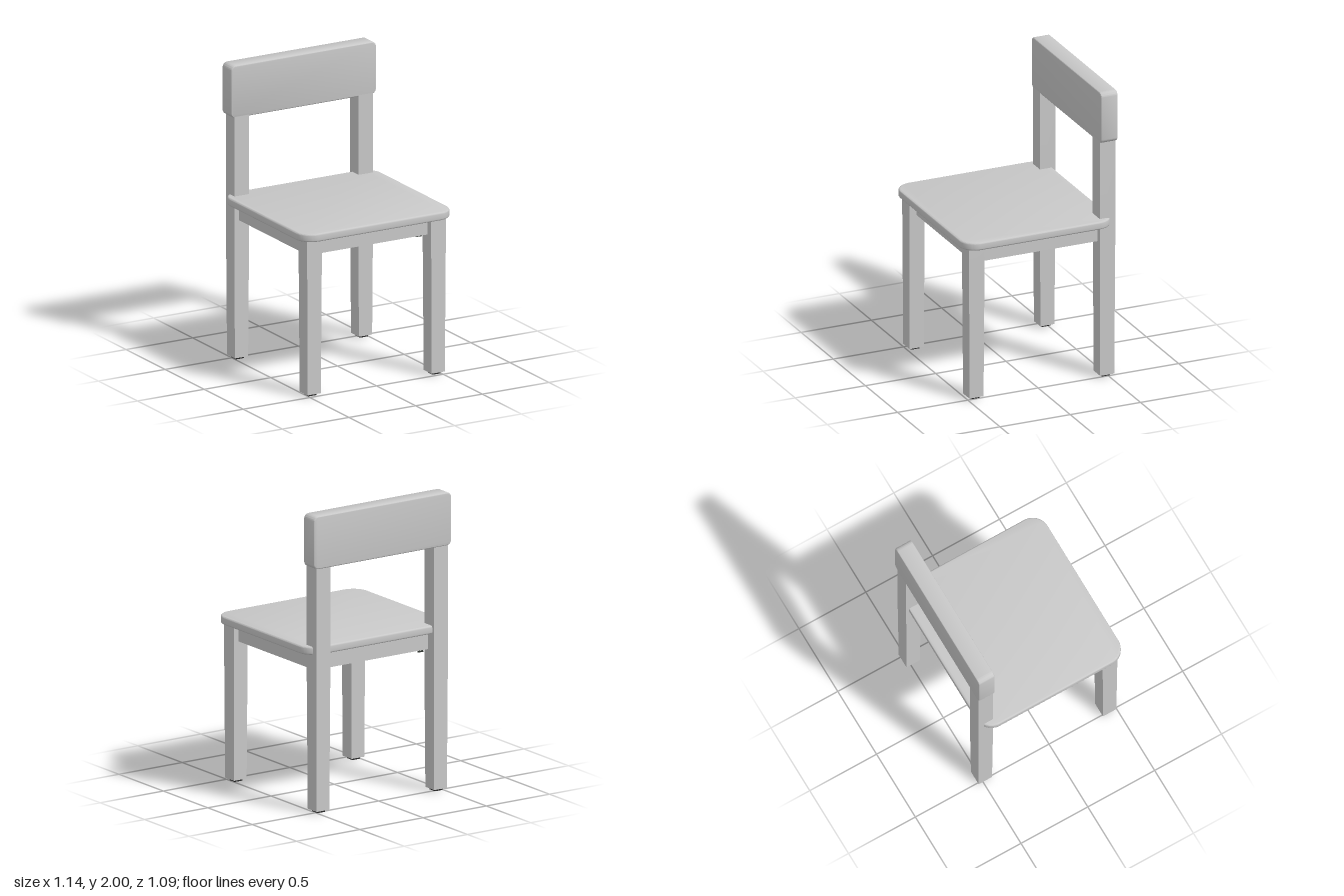
import * as THREE from 'three';
import { toCreasedNormals } from 'three/addons/utils/BufferGeometryUtils.js';

// Rounded rectangle slab lying in the xy plane, centred, with softened rims
function slab(w, h, d, r, bevel) {
  const x = w / 2 - bevel, y = h / 2 - bevel;
  const s = new THREE.Shape();
  s.moveTo(-x + r, -y);
  s.lineTo(x - r, -y);
  s.absarc(x - r, -y + r, r, -Math.PI / 2, 0);
  s.lineTo(x, y - r);
  s.absarc(x - r, y - r, r, 0, Math.PI / 2);
  s.lineTo(-x + r, y);
  s.absarc(-x + r, y - r, r, Math.PI / 2, Math.PI);
  s.lineTo(-x, -y + r);
  s.absarc(-x + r, -y + r, r, Math.PI, Math.PI * 1.5);
  const g = new THREE.ExtrudeGeometry(s, {
    depth: d - 2 * bevel, bevelEnabled: true, bevelSize: bevel,
    bevelThickness: bevel, bevelSegments: 4, curveSegments: 10,
  });
  g.translate(0, 0, -d / 2 + bevel);
  return toCreasedNormals(g, 0.6);
}

// Square post, straight above y = 0.93 and slightly tapered below
function post(top) {
  const bottom = 0.015, size = 0.11;
  const g = new THREE.BoxGeometry(size, 2, size, 1, 2, 1);
  const p = g.attributes.position;
  for (let i = 0; i < p.count; i++) {
    const level = Math.round(p.getY(i));
    const k = level < 0 ? 0.91 : 1;
    p.setXYZ(i, p.getX(i) * k, level < 0 ? bottom : level > 0 ? top : 0.93, p.getZ(i) * k);
  }
  return toCreasedNormals(g, 0.6);
}

export function createModel() {
  const model = new THREE.Group();
  model.name = 'chair';

  const paint = new THREE.MeshStandardMaterial({ color: 0xc8c8c8 });
  paint.name = 'light grey paint';
  const metal = new THREE.MeshStandardMaterial({ color: 0x363c36 });
  metal.name = 'dark metal';
  const rubber = new THREE.MeshStandardMaterial({ color: 0x2a2a2a });
  rubber.name = 'black rubber';

  const add = (name, geometry, material, x, y, z) => {
    const m = new THREE.Mesh(geometry, material);
    m.name = name;
    m.position.set(x, y, z);
    model.add(m);
    return m;
  };
  const box = (name, material, w, h, d, x, y, z) =>
    add(name, new THREE.BoxGeometry(w, h, d), material, x, y, z);

  // Seat and backrest
  add('seat', slab(1.136, 1.065, 0.055, 0.1, 0.012), paint, 0, 1.0875, 0.0125).rotation.x = -Math.PI / 2;
  add('backrest', slab(1.088, 0.355, 0.118, 0.028, 0.008), paint, 0, 1.8225, -0.489);

  // Legs with foot pads; the rear ones run up to the backrest
  const frontPost = post(1.062), rearPost = post(1.66);
  const shank = new THREE.CylinderGeometry(0.006, 0.006, 0.035, 10);
  const head = new THREE.CylinderGeometry(0.011, 0.011, 0.008, 10);
  for (const s of [-1, 1]) {
    add('frontLeg', frontPost, paint, s * 0.465, 0, 0.445);
    add('rearLeg', rearPost, paint, s * 0.465, 0, -0.485);
    for (const z of [0.445, -0.485]) {
      box('footPad', rubber, 0.06, 0.016, 0.06, s * 0.465, 0.008, z);
    }

    // Side rail
    box('sideRail', paint, 0.05, 0.112, 0.84, s * 0.46, 1.004, -0.02);

    // Corner bolts hanging below the frame
    for (const z of [0.377, -0.418]) {
      for (const x of [0.376, 0.4]) {
        add('boltShank', shank, metal, s * x, 0.9375, z);
        add('boltHead', head, metal, s * x, 0.944, z);
        add('boltTip', head, metal, s * x, 0.924, z);
      }
    }
  }

  // Front and rear rails with metal strips on their inner faces
  box('frontRail', paint, 0.84, 0.112, 0.06, 0, 1.004, 0.42);
  box('rearRail', paint, 0.84, 0.112, 0.04, 0, 1.004, -0.45);
  box('frontStrip', metal, 0.82, 0.1, 0.014, 0, 1.002, 0.382);
  box('rearStrip', metal, 0.82, 0.1, 0.014, 0, 1.002, -0.422);

  // Small fixing tab under the seat
  box('seatTab', metal, 0.06, 0.012, 0.05, 0.34, 1.056, 0.345);

  return model;
}
